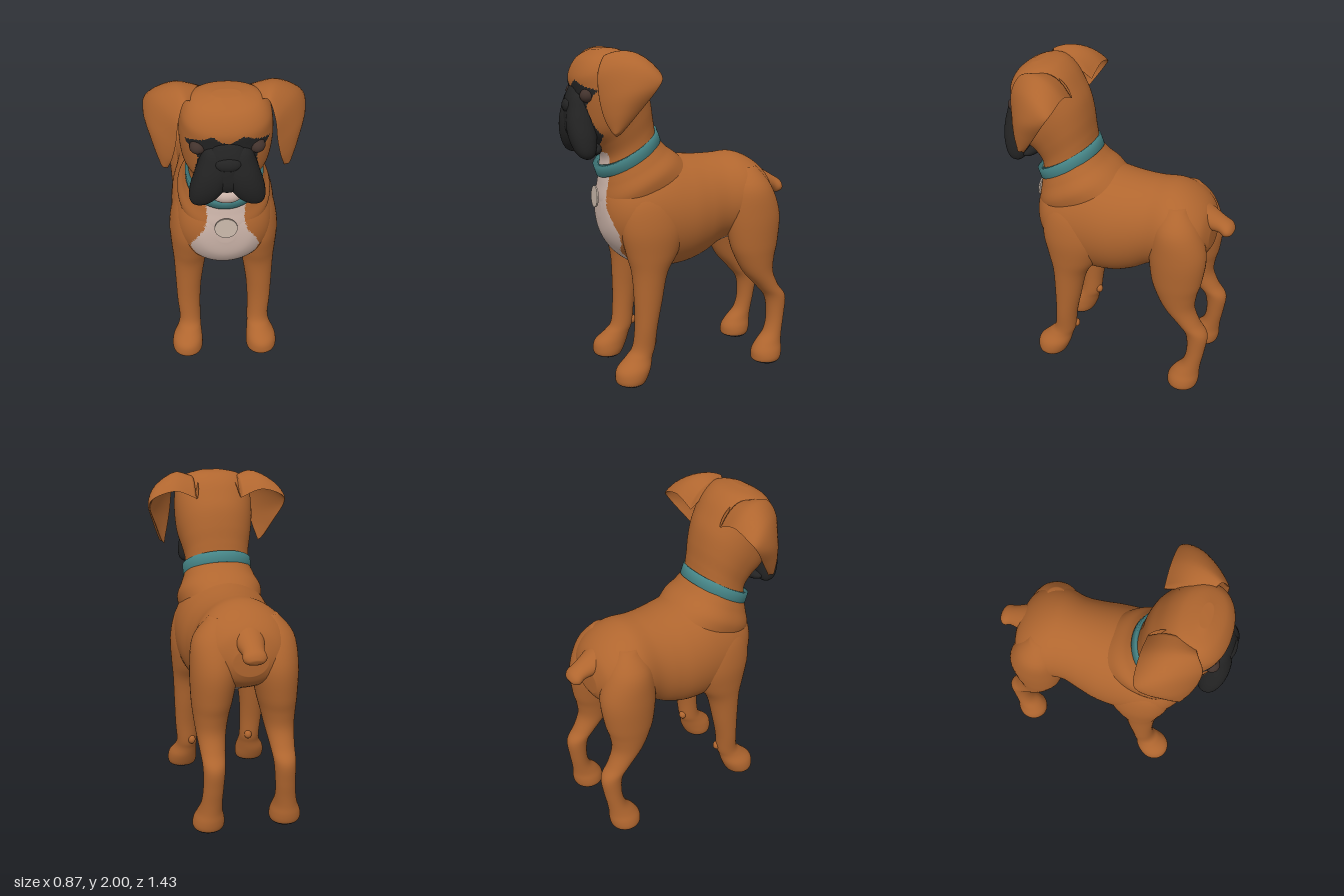
import * as THREE from 'three';

const mat = (name, color) => Object.assign(new THREE.MeshStandardMaterial({ color }), { name });

// Catmull-Rom interpolation through rows of numbers
function smoothRows(rows, steps) {
  const out = [], n = rows.length, at = i => rows[Math.min(n - 1, Math.max(0, i))];
  for (let i = 0; i < n - 1; i++) {
    const [a, b, c, d] = [at(i - 1), at(i), at(i + 1), at(i + 2)];
    for (let s = 0; s < steps; s++) {
      const t = s / steps;
      out.push(b.map((v, k) => v + 0.5 * t * (c[k] - a[k]
        + t * (2 * a[k] - 5 * v + 4 * c[k] - d[k] + t * (3 * (v - c[k]) + d[k] - a[k])))));
    }
  }
  out.push(rows[n - 1]);
  return out;
}

// Closed skin over rings of points; pick(x, y, z) chooses a material index per face
function skin(name, rings, mats, pick = () => 0, capped = true) {
  const seg = rings[0].length, pts = rings.flat(), tris = [];
  const last = rings.length - 1;
  for (let i = 0; i < (capped ? last : rings.length); i++) for (let j = 0; j < seg; j++) {
    const r = ((i + 1) % rings.length) * seg, k = (j + 1) % seg;
    const a = i * seg + j, b = i * seg + k, c = r + k, d = r + j;
    tris.push([a, b, c], [a, c, d]);
  }
  if (capped) for (const e of [0, last]) {
    const mid = [0, 1, 2].map(k => rings[e].reduce((s, p) => s + p[k], 0) / seg);
    const m = pts.push(mid) - 1;
    for (let j = 0; j < seg; j++) {
      const a = e * seg + j, b = e * seg + (j + 1) % seg;
      tris.push(e ? [a, b, m] : [b, a, m]);
    }
  }
  // Turn all faces outward by the sign of the enclosed volume
  let vol = 0;
  const buckets = mats.map(() => []);
  for (const [a, b, c] of tris) {
    const [p, q, r] = [pts[a], pts[b], pts[c]];
    vol += p[0] * (q[1] * r[2] - q[2] * r[1]) + p[1] * (q[2] * r[0] - q[0] * r[2])
      + p[2] * (q[0] * r[1] - q[1] * r[0]);
    const m = [0, 1, 2].map(k => (p[k] + q[k] + r[k]) / 3);
    buckets[pick(...m)].push([a, b, c]);
  }
  const g = new THREE.BufferGeometry();
  g.setAttribute('position', new THREE.Float32BufferAttribute(pts.flat(), 3));
  g.setIndex(buckets.flat().map(t => (vol < 0 ? [t[0], t[2], t[1]] : t)).flat());
  let start = 0;
  buckets.forEach((b, i) => { g.addGroup(start, b.length * 3, i); start += b.length * 3; });
  g.computeVertexNormals();
  const mesh = new THREE.Mesh(g, mats.length > 1 ? mats : mats[0]);
  mesh.name = name;
  return mesh;
}

// Oval ring from a row: [z, y of one edge, z, y of the opposite edge, half width, x centre]
function oval([fz, fy, bz, by, w, xc = 0], seg, power) {
  const pow = v => Math.sign(v) * Math.abs(v) ** power;
  return Array.from({ length: seg }, (_, j) => {
    const t = j / seg * Math.PI * 2, c = pow(Math.cos(t)) / 2, s = pow(Math.sin(t));
    return [xc + w * s, (fy + by) / 2 + (fy - by) * c, (fz + bz) / 2 + (fz - bz) * c];
  });
}

function loft(name, rows, mats, { seg = 40, steps = 5, power = 1, pick } = {}) {
  return skin(name, smoothRows(rows, steps).map(r => oval(r, seg, power)), mats, pick);
}

// Half width of the pale chest blaze at height y
const BLAZE = [[0.6, 0.06], [0.73, 0.1], [0.8, 0.12], [0.87, 0.18], [0.93, 0.2], [1.0, 0.18],
  [1.08, 0.13], [1.15, 0.105], [1.25, 0.11], [1.4, 0.1]];
function blaze(y) {
  for (let i = 1; i < BLAZE.length; i++) {
    const [a, b] = [BLAZE[i - 1], BLAZE[i]];
    if (y >= a[0] && y < b[0]) return a[1] + (b[1] - a[1]) * (y - a[0]) / (b[0] - a[0]);
  }
  return 0;
}
function isPale(x, y, z) {
  const ax = Math.abs(x);
  if (z > 0.2) return ax < blaze(y);
  return z > -0.29 && y < 0.86 && ax < Math.min(0.15, 0.09 + (0.2 - z) * 0.25);
}

// Dark mask painted around the eyes and muzzle
function isMask(x, y, z) {
  const ax = Math.abs(x);
  if (z < 0.53 || y < 1.41) return false;
  if (y < 1.68) return ax < 0.15 + (1.68 - y) * 0.18;
  const top = ax < 0.08 ? 1.78 + ax * 0.6 : ax < 0.13 ? 1.828 - (ax - 0.08) * 0.5 : 1.803 - (ax - 0.13) * 0.3;
  return y < top && ax < 0.15 + (y - 1.68) * 0.75;
}

export function createModel() {
  const dog = new THREE.Group();
  dog.name = 'dog';
  const fur = mat('tan fur', 0xb0662f), pale = mat('pale fur', 0xcdb5aa), black = mat('black mask', 0x232323);
  const teal = mat('teal collar', 0x478789), pad = mat('paw pad', 0x352b28), iris = mat('dark eye', 0x43332d);
  const silver = mat('tag metal', 0xc9b8aa);
  const ball = (name, m, pos, scale) => {
    const b = new THREE.Mesh(new THREE.SphereGeometry(1, 24, 16), m);
    b.name = name;
    b.position.set(...pos);
    b.scale.set(...scale);
    dog.add(b);
  };

  // Torso, from chest to rump
  dog.add(loft('torso', [
    [0.515, 1.1, 0.515, 1.0, 0.05], [0.495, 1.2, 0.495, 0.88, 0.16], [0.42, 1.29, 0.42, 0.77, 0.25],
    [0.3, 1.34, 0.3, 0.69, 0.295], [0.15, 1.37, 0.15, 0.66, 0.308], [0, 1.35, 0, 0.67, 0.303],
    [-0.12, 1.34, -0.12, 0.71, 0.28], [-0.23, 1.34, -0.23, 0.775, 0.262], [-0.35, 1.343, -0.35, 0.81, 0.28],
    [-0.46, 1.3, -0.46, 0.85, 0.27], [-0.55, 1.22, -0.55, 0.9, 0.2], [-0.59, 1.12, -0.59, 0.96, 0.1],
  ], [fur, pale], { seg: 96, steps: 8, pick: (x, y, z) => isPale(x, y, z) ? 1 : 0 }));

  // Neck and head in one sweep
  dog.add(loft('neckAndHead', [
    [0.49, 0.98, -0.08, 1.26, 0.24], [0.515, 1.1, 0.03, 1.36, 0.268], [0.505, 1.2, 0.11, 1.42, 0.235],
    [0.495, 1.28, 0.165, 1.49, 0.207], [0.49, 1.36, 0.185, 1.58, 0.203], [0.53, 1.43, 0.2, 1.68, 0.22],
    [0.605, 1.5, 0.225, 1.78, 0.24], [0.64, 1.62, 0.265, 1.86, 0.248], [0.66, 1.75, 0.31, 1.93, 0.242],
    [0.665, 1.84, 0.36, 1.975, 0.222], [0.62, 1.93, 0.41, 1.993, 0.17], [0.54, 1.985, 0.48, 1.998, 0.07],
  ], [fur, pale, black], {
    seg: 128, steps: 10, power: 0.9,
    pick: (x, y, z) => isMask(x, y, z) ? 2 : y < 1.4 && z > 0.36 && isPale(x, y, z) ? 1 : 0,
  }));

  // Muzzle centre, nose and chin
  dog.add(loft('muzzleBridge', [
    [0.68, 1.49, 0.56, 1.49, 0.05], [0.7, 1.54, 0.56, 1.54, 0.08], [0.705, 1.62, 0.56, 1.62, 0.1],
    [0.7, 1.7, 0.56, 1.7, 0.1], [0.675, 1.77, 0.56, 1.77, 0.08], [0.65, 1.8, 0.57, 1.8, 0.04],
  ], [black], { power: 0.8 }));
  ball('nose', black, [0, 1.675, 0.68], [0.075, 0.045, 0.036]);
  ball('chin', pale, [0, 1.43, 0.59], [0.095, 0.06, 0.07]);
  ball('lowerLip', black, [0, 1.425, 0.565], [0.17, 0.045, 0.06]);

  // Tail stub
  dog.add(loft('tail', [
    [-0.45, 1.29, -0.5, 1.1, 0.1], [-0.56, 1.22, -0.58, 1.08, 0.08], [-0.64, 1.17, -0.63, 1.07, 0.064],
    [-0.695, 1.135, -0.66, 1.052, 0.068], [-0.714, 1.1, -0.69, 1.06, 0.045], [-0.712, 1.085, -0.705, 1.07, 0.012],
  ], [fur]));

  // Collar band with a round tag
  dog.add(skin('collar', [
    [0.49, 1.26, 0.165, 1.45, 0.195], [0.515, 1.245, 0.135, 1.465, 0.22],
    [0.535, 1.305, 0.16, 1.53, 0.22], [0.505, 1.32, 0.19, 1.51, 0.195],
  ].map(r => oval(r, 64, 1)), [teal], undefined, false));
  const tag = new THREE.Mesh(new THREE.CylinderGeometry(0.065, 0.065, 0.009, 32), silver);
  tag.name = 'collarTag';
  tag.rotation.x = Math.PI / 2 - 0.06;
  tag.position.set(0, 1.125, 0.537);
  dog.add(tag);

  for (const side of [1, -1]) {
    const word = side > 0 ? 'left' : 'right';
    // Level leg slices: [height, front z, back z, half width, x centre]
    const leg = (name, rows) => dog.add(loft(word + name,
      rows.map(([y, f, b, w, x]) => [f, y, b, y, w, x * side]), [fur, pad],
      { pick: (x, y) => y < 0.018 ? 1 : 0 }));

    leg('FrontLeg', [
      [1.22, 0.34, 0.14, 0.04, 0.19], [1.1, 0.42, 0.06, 0.095, 0.2], [0.95, 0.44, 0.04, 0.122, 0.202],
      [0.8, 0.41, 0.09, 0.115, 0.203], [0.68, 0.38, 0.16, 0.097, 0.21], [0.5, 0.37, 0.2, 0.08, 0.22],
      [0.35, 0.37, 0.23, 0.072, 0.222], [0.22, 0.385, 0.245, 0.067, 0.217], [0.16, 0.43, 0.265, 0.073, 0.222],
      [0.1, 0.49, 0.28, 0.092, 0.235], [0.05, 0.502, 0.3, 0.097, 0.238], [0.015, 0.495, 0.32, 0.09, 0.238],
      [0, 0.465, 0.345, 0.07, 0.238],
    ]);
    ball(word + 'Dewclaw', fur, [side * 0.195, 0.235, 0.25], [0.025, 0.03, 0.025]);

    leg('HindLeg', [
      [1.27, -0.34, -0.45, 0.05, 0.15], [1.15, -0.27, -0.54, 0.125, 0.17], [0.98, -0.25, -0.598, 0.14, 0.178],
      [0.8, -0.27, -0.585, 0.122, 0.192], [0.7, -0.305, -0.562, 0.105, 0.2], [0.6, -0.36, -0.555, 0.088, 0.205],
      [0.5, -0.45, -0.595, 0.073, 0.208], [0.42, -0.51, -0.648, 0.065, 0.21], [0.3, -0.525, -0.638, 0.06, 0.215],
      [0.2, -0.505, -0.622, 0.062, 0.222], [0.13, -0.45, -0.615, 0.074, 0.228], [0.08, -0.42, -0.615, 0.09, 0.232],
      [0.04, -0.415, -0.61, 0.095, 0.234], [0.015, -0.42, -0.6, 0.088, 0.234], [0, -0.45, -0.58, 0.07, 0.234],
    ]);

    // Hanging jowl
    dog.add(loft(word + 'Jowl', [
      [1.382, 0.635, 0.6, 0.02, 0.15], [1.4, 0.665, 0.575, 0.05, 0.143], [1.44, 0.69, 0.56, 0.078, 0.125],
      [1.51, 0.71, 0.55, 0.096, 0.1], [1.59, 0.714, 0.55, 0.095, 0.078], [1.67, 0.7, 0.55, 0.085, 0.062],
      [1.73, 0.68, 0.56, 0.065, 0.06], [1.77, 0.64, 0.58, 0.03, 0.06],
    ].map(([y, f, b, w, x]) => [f, y, b, y, w, x * side]), [black], { power: 0.9 }));

    ball(word + 'Eye', iris, [side * 0.152, 1.742, 0.61], [0.043, 0.04, 0.043]);

    // Folded ear flap: rows of back edge, middle and front edge
    const rings = smoothRows([
      [0.14, 1.84, 0.25, 0.13, 1.95, 0.36, 0.15, 1.93, 0.5], [0.27, 1.89, 0.245, 0.25, 1.975, 0.37, 0.21, 1.96, 0.53],
      [0.405, 1.85, 0.255, 0.355, 1.91, 0.4, 0.245, 1.87, 0.575], [0.43, 1.79, 0.295, 0.385, 1.78, 0.44, 0.262, 1.74, 0.575],
      [0.385, 1.67, 0.38, 0.365, 1.66, 0.475, 0.285, 1.63, 0.555], [0.345, 1.565, 0.46, 0.335, 1.555, 0.495, 0.308, 1.56, 0.525],
      [0.328, 1.54, 0.49, 0.325, 1.535, 0.5, 0.32, 1.54, 0.51],
    ], 6).map(r => Array.from({ length: 32 }, (_, j) => {
      const t = j / 32 * Math.PI * 2, u = (1 - Math.cos(t)) / 2, h = 0.017 * Math.sin(t);
      const p = [0, 1, 2].map(k => r[k] * (1 - u) * (1 - 2 * u) + r[k + 3] * 4 * u * (1 - u) + r[k + 6] * u * (2 * u - 1));
      return [side * (p[0] + h * 0.75), p[1] + h * 0.5, p[2] + h * 0.4];
    }));
    dog.add(skin(word + 'Ear', rings, [fur]));
  }
  return dog;
}
